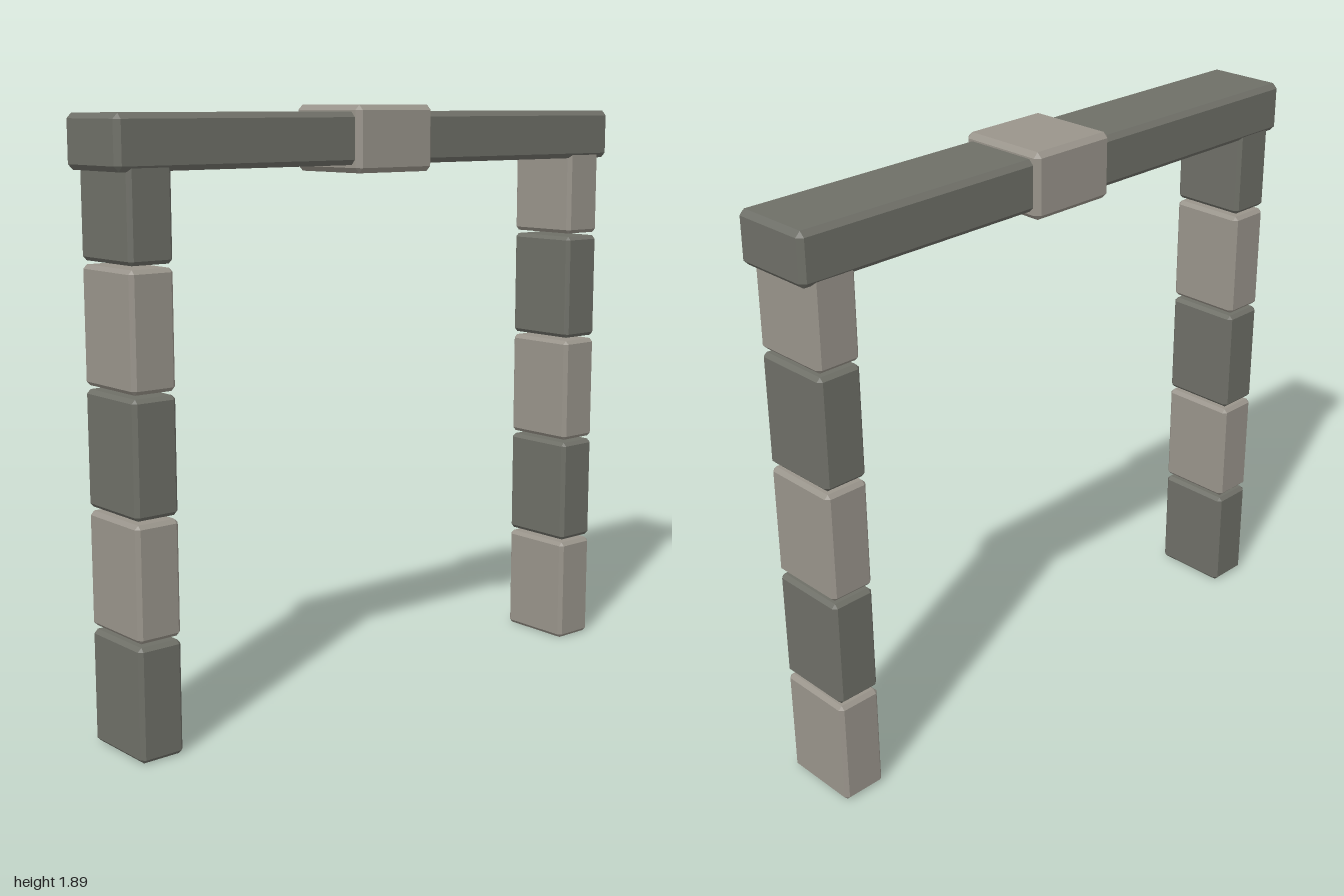
import * as THREE from 'three';
import { ConvexGeometry } from 'three/addons/geometries/ConvexGeometry.js';

// Box with every edge and corner cut by a flat chamfer
function chamferBox(w, h, d, c) {
  const points = [];
  for (const sx of [-1, 1]) for (const sy of [-1, 1]) for (const sz of [-1, 1]) {
    const x = w / 2, y = h / 2, z = d / 2;
    points.push(
      new THREE.Vector3(sx * x, sy * (y - c), sz * (z - c)),
      new THREE.Vector3(sx * (x - c), sy * y, sz * (z - c)),
      new THREE.Vector3(sx * (x - c), sy * (y - c), sz * z)
    );
  }
  return new ConvexGeometry(points);
}

export function createModel() {
  const darkStone = new THREE.MeshStandardMaterial({ color: 0x6e6f67 });
  darkStone.name = 'darkStone';
  const lightStone = new THREE.MeshStandardMaterial({ color: 0x99948b });
  lightStone.name = 'lightStone';

  const model = new THREE.Group();
  model.name = 'stoneGateway';

  function add(parent, name, geometry, material, x, y) {
    const mesh = new THREE.Mesh(geometry, material);
    mesh.name = name;
    mesh.position.set(x, y, 0);
    parent.add(mesh);
  }

  // Two pillars of stacked blocks in alternating stone; the top block sits into the lintel
  const blockHeight = 0.352, pitch = 0.3635;
  const block = chamferBox(0.147, blockHeight, 0.26, 0.012);
  for (const side of [-1, 1]) {
    const pillar = new THREE.Group();
    pillar.name = side > 0 ? 'leftPillar' : 'rightPillar';
    for (let i = 0; i < 5; i++) {
      const light = (i % 2 === 0) === (side > 0);
      add(pillar, 'pillarBlock' + (i + 1), block, light ? lightStone : darkStone,
        side * 0.888, blockHeight / 2 + i * pitch);
    }
    model.add(pillar);
  }

  // Lintel across the top and the keystone wrapped around its middle
  add(model, 'lintel', chamferBox(2, 0.16, 0.272, 0.016), darkStone, 0, 1.792);
  add(model, 'keystone', chamferBox(0.31, 0.206, 0.308, 0.016), lightStone, 0, 1.79);

  return model;
}
